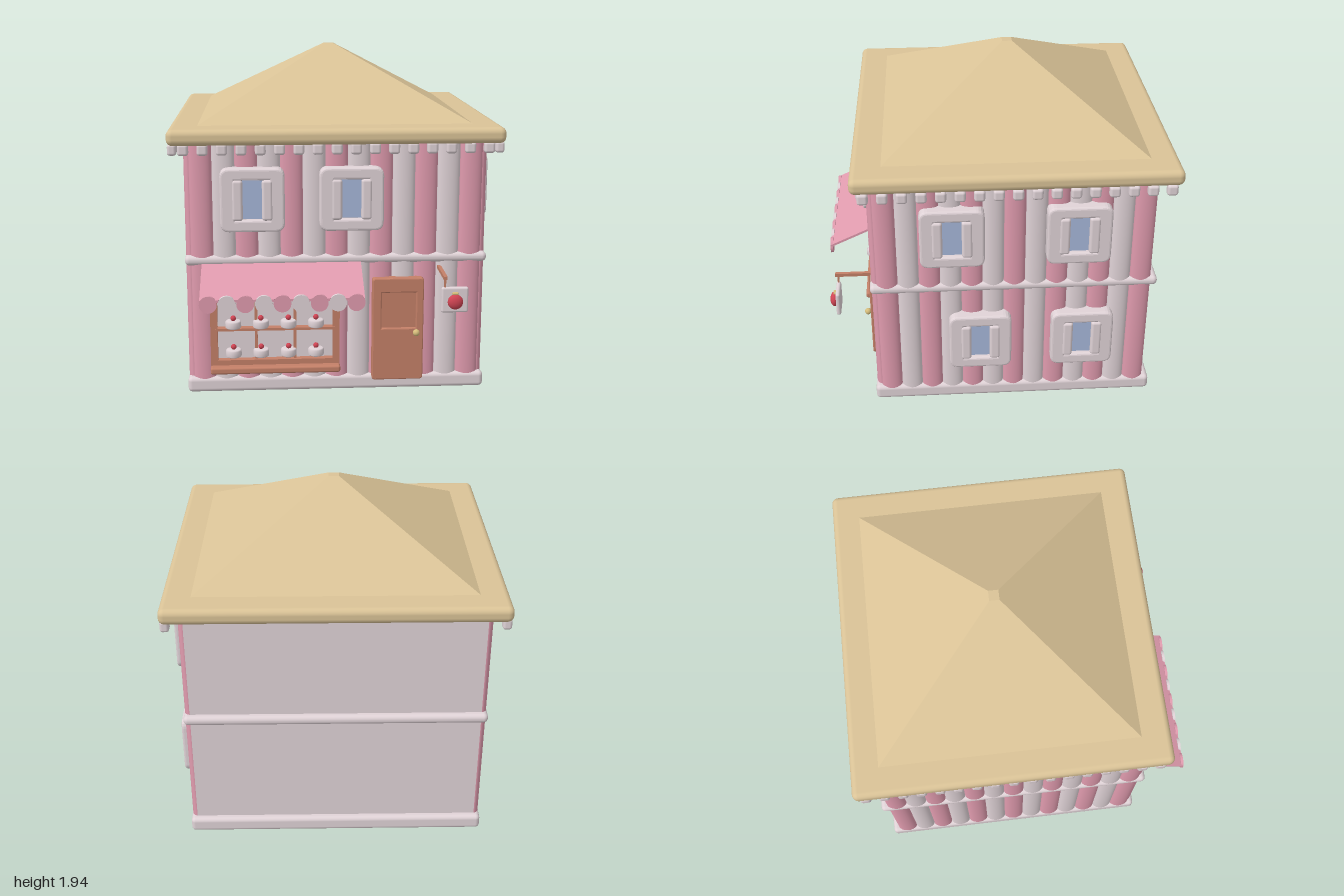
import * as THREE from 'three';
import { RoundedBoxGeometry } from 'three/addons/geometries/RoundedBoxGeometry.js';

const mat = (name, color, side = THREE.FrontSide) => {
  const m = new THREE.MeshStandardMaterial({ color, side });
  m.name = name;
  return m;
};

export function createModel() {
  const pink = mat('pink', 0xe09bae);
  const white = mat('offWhite', 0xe0d3d7);
  const tan = mat('tan', 0xdac397);
  const brown = mat('terracotta', 0xc48068);
  const blue = mat('glassBlue', 0xa6b7d9);
  const red = mat('cherryRed', 0xd04453);
  const gold = mat('gold', 0xd6bd7c);

  const house = new THREE.Group();
  house.name = 'cakeShop';

  const add = (parent, name, geo, material, x = 0, y = 0, z = 0) => {
    const m = new THREE.Mesh(geo, material);
    m.name = name;
    m.position.set(x, y, z);
    parent.add(m);
    return m;
  };
  const group = (name, x = 0, y = 0, z = 0, parent = house) => {
    const g = new THREE.Group();
    g.name = name;
    g.position.set(x, y, z);
    parent.add(g);
    return g;
  };
  const box = (w, h, d) => new THREE.BoxGeometry(w, h, d);
  const soft = (w, h, d, r, s = 3) => new RoundedBoxGeometry(w, h, d, s, r);

  // Body, base, belt
  const midZ = -0.1;
  add(house, 'walls', box(1.64, 1.4, 1.56), white, 0, 0.75, midZ);
  add(house, 'base', soft(1.71, 0.09, 1.635, 0.025), white, 0, 0.045, midZ);
  add(house, 'belt', soft(1.71, 0.056, 1.635, 0.026), white, 0, 0.783, midZ);

  // Convex wall stripes: 13 per striped wall
  const stripeWall = (name, width, x, z, turn) => {
    const g = group(name, x, 0, z);
    g.rotation.y = turn;
    const w = width / 13;
    for (let i = 0; i < 13; i++) {
      const geo = new THREE.CylinderGeometry(1, 1, 1.39, 12, 1, false, -Math.PI / 2, Math.PI);
      geo.scale(w / 2, 1, 0.032);
      add(g, 'stripe', geo, i % 2 ? white : pink, (i - 6) * w, 0.76, 0);
    }
  };
  stripeWall('frontStripes', 1.64, 0, 0.68, 0);
  stripeWall('leftStripes', 1.56, 0.82, midZ, Math.PI / 2);
  stripeWall('rightStripes', 1.56, -0.82, midZ, -Math.PI / 2);

  // Roof slab and hipped roof
  add(house, 'eaves', soft(1.865, 0.09, 1.79, 0.035), tan, 0, 1.49, -0.105);
  const hip = new THREE.CylinderGeometry(0.03 * Math.SQRT2, 0.78 * Math.SQRT2, 0.41, 4, 1)
    .rotateY(Math.PI / 4).toNonIndexed();
  hip.scale(1, 1, 0.74 / 0.78);
  hip.computeVertexNormals();
  add(house, 'roof', hip, tan, 0, 1.735, -0.11);

  // Row of small blocks under the eaves on three sides
  const trim = group('eavesTrim');
  const blockGeo = soft(0.06, 0.065, 0.05, 0.016, 2);
  for (let i = 0; i < 17; i++) {
    add(trim, 'trimBlock', blockGeo, white, (i - 8) * 0.1056, 1.42, 0.735);
    for (const s of [-1, 1]) {
      add(trim, 'trimBlock', blockGeo, white, s * 0.905, 1.42, 0.72 - i * 0.1035).rotation.y = Math.PI / 2;
    }
  }

  // Framed windows with side curtains
  const roundRect = (path, w, h, r) => {
    const x = w / 2, y = h / 2;
    path.moveTo(-x + r, -y);
    path.lineTo(x - r, -y).quadraticCurveTo(x, -y, x, -y + r);
    path.lineTo(x, y - r).quadraticCurveTo(x, y, x - r, y);
    path.lineTo(-x + r, y).quadraticCurveTo(-x, y, -x, y - r);
    path.lineTo(-x, -y + r).quadraticCurveTo(-x, -y, -x + r, -y);
    return path;
  };
  const ring = roundRect(new THREE.Shape(), 0.33, 0.33, 0.035);
  ring.holes.push(roundRect(new THREE.Path(), 0.215, 0.25, 0.01));
  const frameGeo = new THREE.ExtrudeGeometry(ring, {
    depth: 0.06, bevelSize: 0.014, bevelThickness: 0.014, bevelSegments: 3, curveSegments: 5,
  });
  const addWindow = (x, y, z, turn) => {
    const g = group('window', x, y, z);
    g.rotation.y = turn;
    add(g, 'frame', frameGeo, white, 0, 0, 0.01);
    add(g, 'backing', box(0.25, 0.28, 0.05), white, 0, 0, 0.025);
    add(g, 'pane', box(0.12, 0.215, 0.008), blue, 0, 0, 0.054);
    for (const s of [-1, 1]) add(g, 'curtain', soft(0.06, 0.23, 0.04, 0.016), white, s * 0.083, 0, 0.07);
  };
  for (const x of [-0.47, 0.08]) addWindow(x, 1.138, 0.685, 0);
  for (const [z, y] of [[0.25, 1.138], [-0.45, 1.138], [0.097, 0.435], [-0.49, 0.435]]) {
    addWindow(0.822, y, z, Math.PI / 2);
  }

  // Shop display: frame, shelves and cakes
  const shop = group('shopWindow', -0.352, 0, 0);
  add(shop, 'backing', box(0.7, 0.46, 0.04), white, 0, 0.4, 0.7);
  for (const s of [-1, 1]) add(shop, 'post', box(0.04, 0.5, 0.07), brown, s * 0.346, 0.39, 0.725);
  for (const x of [-0.108, 0.112]) add(shop, 'mullion', box(0.016, 0.44, 0.035), brown, x, 0.41, 0.725);
  add(shop, 'topRail', box(0.73, 0.04, 0.07), brown, 0, 0.63, 0.725);
  add(shop, 'shelf', box(0.68, 0.014, 0.06), brown, 0, 0.392, 0.735);
  add(shop, 'bottomRail', box(0.73, 0.03, 0.07), brown, 0, 0.195, 0.725);
  add(shop, 'sill', soft(0.735, 0.04, 0.11, 0.012), brown, 0, 0.16, 0.75);
  const cakeGeo = new THREE.LatheGeometry(
    [[0, 0], [0.04, 0], [0.045, 0.006], [0.045, 0.036], [0.038, 0.043], [0, 0.043]]
      .map(p => new THREE.Vector2(...p)), 20);
  for (const y of [0.4, 0.23]) {
    for (let i = 0; i < 4; i++) {
      const cake = group('cake', -0.237 + i * 0.156, y, 0.747, shop);
      add(cake, 'sponge', cakeGeo, white);
      add(cake, 'cherry', new THREE.SphereGeometry(0.016, 12, 8), red, 0, 0.056, 0);
    }
  }

  // Sloping awning with a scalloped edge
  const awning = group('awning', -0.312, 0, 0);
  const slope = Math.atan2(0.125, 0.27);
  add(awning, 'canopy', box(0.895, 0.014, 0.3), pink, 0, 0.7, 0.855).rotation.x = slope;
  add(awning, 'valance', box(0.895, 0.014, 0.016), pink, 0, 0.636, 0.988);
  const scallopGeo = new THREE.CylinderGeometry(0.048, 0.048, 0.016, 20).rotateX(Math.PI / 2);
  for (let i = 0; i < 9; i++) {
    add(awning, 'scallop', scallopGeo, i % 2 ? white : pink, (i - 4) * 0.1005, 0.617, 0.99);
  }

  // Door with sunken panel and knob
  const door = group('door', 0.348, 0.37, 0.7);
  const doorShape = roundRect(new THREE.Shape(), 0.28, 0.594, 0.012);
  const hole = new THREE.Path();
  hole.moveTo(-0.1, 0).lineTo(-0.1, 0.225).lineTo(0.11, 0.225).lineTo(0.11, 0).closePath();
  doorShape.holes.push(hole);
  add(door, 'leaf', new THREE.ExtrudeGeometry(doorShape, {
    depth: 0.04, bevelSize: 0.007, bevelThickness: 0.007, bevelSegments: 2,
  }), brown);
  add(door, 'panel', box(0.24, 0.25, 0.03), brown, 0.005, 0.112, 0.015);
  add(door, 'knob', new THREE.SphereGeometry(0.02, 16, 12), gold, 0.104, -0.015, 0.065);

  // Hanging cherry sign
  const sign = group('hangingSign', 0.64, 0.598, 0.915);
  add(sign, 'bracket', box(0.02, 0.02, 0.25), brown, -0.055, 0.127, -0.107);
  add(sign, 'hanger', box(0.01, 0.06, 0.01), brown, -0.055, 0.092, 0);
  add(sign, 'board', soft(0.15, 0.146, 0.026, 0.012), white);
  add(sign, 'cherry', new THREE.SphereGeometry(0.043, 20, 14), red, 0, -0.006, 0.025).scale.z = 0.6;
  add(sign, 'cherryStem', soft(0.035, 0.014, 0.02, 0.006), gold, 0, 0.04, 0.02);

  return house;
}
